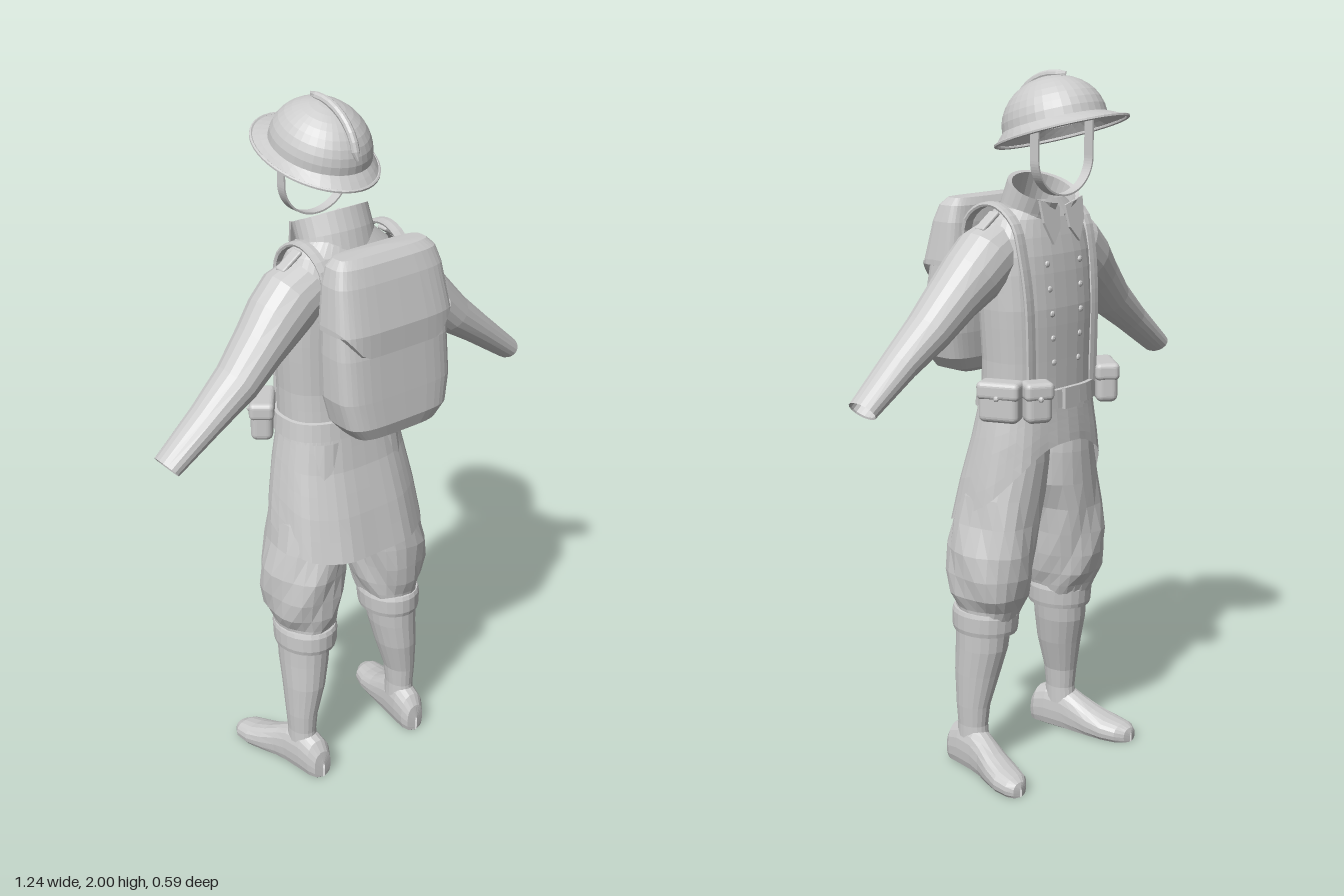
import * as THREE from 'three';
import { RoundedBoxGeometry } from 'three/addons/geometries/RoundedBoxGeometry.js';

const V = (x, y, z) => new THREE.Vector3(x, y, z);
const mat = new THREE.MeshStandardMaterial({ color: 0xcccccc, flatShading: true, side: THREE.DoubleSide });
const lerp = THREE.MathUtils.lerp;

// Grid surface from a function giving the point at (row, column)
function surface(rows, cols, fn) {
  const pos = [], idx = [], w = cols + 1;
  for (let i = 0; i <= rows; i++)
    for (let j = 0; j <= cols; j++) pos.push(...fn(i, j).toArray());
  for (let i = 0; i < rows; i++)
    for (let j = 0; j < cols; j++) {
      const a = i * w + j;
      idx.push(a, a + 1, a + w, a + 1, a + w + 1, a + w);
    }
  const g = new THREE.BufferGeometry();
  g.setAttribute('position', new THREE.Float32BufferAttribute(pos, 3));
  g.setIndex(idx);
  g.computeVertexNormals();
  return g;
}

// Loft through sections { c, u, v }; e < 1 squares the cross-section; mod adjusts each point
const pw = (t, e) => Math.sign(t) * Math.abs(t) ** e;
function loft(secs, n = 24, e = 1, mod = null, a0 = 0, a1 = Math.PI * 2) {
  return surface(secs.length - 1, n, (i, j) => {
    const a = a0 + (a1 - a0) * j / n, s = secs[i];
    const p = s.c.clone().addScaledVector(s.u, pw(Math.cos(a), e)).addScaledVector(s.v, pw(Math.sin(a), e));
    if (mod) mod(p, i, a, s);
    return p;
  });
}
// Level section: y, centre x, centre z, half width, half depth
const level = ([y, x, z, rx, rz]) => ({ c: V(x, y, z), u: V(rx, 0, 0), v: V(0, 0, -rz) });

// Coat profile: y, half width, front z, back z
const COAT = [[0.74, 0.237, -0.14, 0.2], [0.88, 0.22, -0.135, 0.165], [1.0, 0.2, -0.13, 0.13], [1.12, 0.176, -0.12, 0.108],
  [1.22, 0.176, -0.12, 0.1], [1.36, 0.184, -0.122, 0.105], [1.5, 0.185, -0.11, 0.11], [1.58, 0.172, -0.092, 0.1],
  [1.63, 0.135, -0.078, 0.085], [1.66, 0.09, -0.06, 0.065]];
function coatAt(y) {
  let i = 0;
  while (i < COAT.length - 2 && COAT[i + 1][0] < y) i++;
  const t = THREE.MathUtils.clamp((y - COAT[i][0]) / (COAT[i + 1][0] - COAT[i][0]), 0, 1);
  return COAT[i].map((k, q) => lerp(k, COAT[i + 1][q], t));
}
const E = 0.8;
function coatPoint(y, a, grow = 0) {
  const [, w, f, b] = coatAt(y);
  return V(pw(Math.cos(a), E) * (w + grow), y, (f + b) / 2 - pw(Math.sin(a), E) * ((b - f) / 2 + grow));
}
function frontZ(x, y) {
  const [, w, f, b] = coatAt(y);
  return (f + b) / 2 - (b - f) / 2 * Math.max(0, 1 - Math.abs(x / w) ** (2 / E)) ** (E / 2);
}

// Flat strap swept along a path
function strap(points, half, thick) {
  const curve = new THREE.CatmullRomCurve3(points), secs = [];
  for (let i = 0; i <= 24; i++) {
    const u = V(half, 0, 0), t = curve.getTangent(i / 24);
    secs.push({ c: curve.getPoint(i / 24), u, v: t.cross(V(1, 0, 0)).multiplyScalar(thick) });
  }
  return loft(secs, 8, 0.5);
}

export function createModel() {
  const model = new THREE.Group();
  const add = (name, geo, parent = model) => {
    const m = new THREE.Mesh(geo, mat);
    m.name = name;
    parent.add(m);
    return m;
  };
  const pair = (name, geo) => {
    add(name + 'Left', geo);
    add(name + 'Right', geo).scale.x = -1;
  };
  const TAU = Math.PI * 2;

  // Coat body, skirt with the hem rising to the front, and belt
  add('coatBody', surface(12, 36, (i, j) => coatPoint(lerp(1.08, 1.66, i / 12), j / 36 * TAU)));
  add('coatSkirt', surface(6, 40, (i, j) => {
    const a = j / 40 * TAU, hem = 0.74 + 0.25 * ((1 + Math.sin(a)) / 2) ** 2;
    return coatPoint(lerp(hem, 1.12, i / 6), a, 0.003 * (1 - i / 6) * Math.sin(a * 9));
  }));
  const beltRows = [[1.09, 0], [1.092, 0.009], [1.143, 0.009], [1.145, 0]];
  add('belt', surface(3, 36, (i, j) => coatPoint(beltRows[i][0], j / 36 * TAU, beltRows[i][1])));
  add('beltBuckle', new THREE.BoxGeometry(0.055, 0.06, 0.014)).position.set(0, 1.118, -0.134);

  // Double row of buttons
  for (const s of [-1, 1])
    for (let i = 0; i < 5; i++) {
      const x = s * (0.05 + i * 0.004), y = 1.22 + i * 0.068;
      const b = add('button', new THREE.SphereGeometry(0.009, 8, 6));
      b.position.set(x, y, frontZ(x, y));
      b.scale.z = 0.6;
    }

  // Standing collar open at the front, with turned points
  const gap = 0.28, mid = Math.PI / 2;
  add('collar', loft([
    { c: V(0, 1.6, 0.003), u: V(0.118, 0, 0), v: V(0, -0.02, -0.085) },
    { c: V(0, 1.645, -0.012), u: V(0.113, 0, 0), v: V(0, -0.028, -0.086) },
    { c: V(0, 1.69, -0.033), u: V(0.112, 0, 0), v: V(0, -0.038, -0.084) },
    { c: V(0, 1.685, -0.033), u: V(0.1, 0, 0), v: V(0, -0.038, -0.074) },
    { c: V(0, 1.6, 0.003), u: V(0.09, 0, 0), v: V(0, -0.02, -0.07) },
  ], 28, 1, null, mid + gap, mid + TAU - gap));
  const point = new THREE.Shape([[0.012, 0.06], [0.085, 0.08], [0.08, 0.02], [0.052, -0.04], [0.02, 0]].map(p => new THREE.Vector2(...p)));
  const pointGeo = new THREE.ExtrudeGeometry(point, { depth: 0.008, bevelEnabled: false });
  pointGeo.rotateX(0.18).translate(0, 1.585, -0.113);
  pair('collarPoint', pointGeo);

  // Sleeves
  const arm = [[0.11, 1.54, 0.02, 0.085, 0.08], [0.17, 1.51, 0.02, 0.092, 0.09], [0.23, 1.46, 0.025, 0.085, 0.088],
    [0.29, 1.407, 0.035, 0.071, 0.08], [0.37, 1.33, 0.045, 0.06, 0.07], [0.47, 1.255, 0.05, 0.046, 0.058],
    [0.6, 1.155, 0.05, 0.033, 0.047], [0.597, 1.157, 0.05, 0.028, 0.042], [0.55, 1.195, 0.05, 0.028, 0.042]];
  const dir = V(0.77, -0.64, 0);
  pair('sleeve', loft(arm.map(([x, y, z, r, rz]) => ({
    c: V(x, y, z), u: V(-dir.y * r, dir.x * r, 0), v: V(0, 0, rz),
  })), 18));
  const tab = new RoundedBoxGeometry(0.075, 0.012, 0.035, 2, 0.005);
  tab.rotateZ(-0.6).translate(0.172, 1.607, 0.015);
  pair('shoulderTab', tab);

  // Baggy breeches with soft folds, knee bands and stockings
  const leg = [[0.46, 0.157, 0.043, 0.075, 0.09], [0.51, 0.153, 0.037, 0.085, 0.103], [0.55, 0.157, 0.032, 0.1, 0.118],
    [0.61, 0.156, 0.03, 0.107, 0.128], [0.68, 0.15, 0.03, 0.109, 0.133], [0.76, 0.133, 0.028, 0.105, 0.13],
    [0.84, 0.112, 0.022, 0.112, 0.125], [0.94, 0.094, 0.01, 0.098, 0.118], [1.08, 0.085, 0, 0.085, 0.11]];
  pair('breeches', loft(leg.map(level), 22, 0.9, (p, i, a, s) => {
    const k = i < 6 ? 1 + 0.035 * Math.sin(a * 5 + i * 1.9) : 1;
    p.sub(s.c).multiplyScalar(k).add(s.c);
    p.x = Math.max(p.x, 0.002);
  }));
  pair('kneeBand', loft([[0.432, 0.16, 0.05, 0.07, 0.08], [0.432, 0.158, 0.048, 0.084, 0.098], [0.445, 0.158, 0.048, 0.087, 0.102],
    [0.488, 0.157, 0.046, 0.089, 0.104], [0.5, 0.157, 0.045, 0.086, 0.1], [0.502, 0.157, 0.045, 0.07, 0.08]].map(level), 24));
  pair('stocking', loft([[0.09, 0.19, 0.07, 0.04, 0.053], [0.14, 0.19, 0.07, 0.039, 0.048], [0.2, 0.189, 0.069, 0.044, 0.054],
    [0.3, 0.176, 0.063, 0.06, 0.071], [0.38, 0.168, 0.053, 0.069, 0.082], [0.45, 0.164, 0.05, 0.074, 0.086]].map(level), 20));

  // Shoes: toe to heel as z, x, half width, top
  const shoe = [[-0.172, 0.243, 0.004, 0.03], [-0.166, 0.242, 0.026, 0.045], [-0.145, 0.237, 0.044, 0.056], [-0.1, 0.228, 0.053, 0.066],
    [-0.05, 0.216, 0.05, 0.085], [0, 0.203, 0.044, 0.112], [0.04, 0.196, 0.043, 0.133], [0.1, 0.188, 0.044, 0.137],
    [0.14, 0.184, 0.042, 0.12], [0.16, 0.182, 0.03, 0.09], [0.166, 0.182, 0.004, 0.05]];
  pair('shoe', loft(shoe.map(([z, x, w, top]) => ({ c: V(x, top * 0.45, z), u: V(w, 0, 0), v: V(0, top * 0.55, 0) })), 18, 0.85,
    p => { p.y = Math.max(p.y, 0.003); }));

  // Backpack bag and overlapping flap
  add('backpackBag', loft([[1.148, 0, 0.225, 0, 0], [1.15, 0, 0.225, 0.08, 0.035], [1.168, 0, 0.222, 0.135, 0.065],
    [1.205, 0, 0.217, 0.168, 0.08], [1.28, 0, 0.21, 0.186, 0.079], [1.4, 0, 0.202, 0.186, 0.073],
    [1.5, 0, 0.195, 0.18, 0.06], [1.6, 0, 0.188, 0.165, 0.045]].map(level), 36, 0.5));
  add('backpackFlap', loft([[1.4, 0, 0.2, 0.182, 0.068], [1.405, 0, 0.204, 0.192, 0.08], [1.47, 0, 0.202, 0.192, 0.08],
    [1.59, 0, 0.188, 0.178, 0.062], [1.635, 0, 0.182, 0.165, 0.05], [1.655, 0, 0.178, 0.145, 0.034],
    [1.66, 0, 0.176, 0, 0]].map(level), 36, 0.5, (p, i) => {
    if (i < 2) p.y += Math.max(0, Math.abs(p.x) - 0.125) * 1.2;
  }));

  // Pack straps over the shoulders to the belt
  const onChest = (x, y) => V(x, y, frontZ(x, y) - 0.004);
  pair('packStrap', strap([V(0.135, 1.5, 0.135), V(0.138, 1.6, 0.12), V(0.14, 1.645, 0.06), V(0.14, 1.645, 0), V(0.14, 1.6, -0.06),
    onChest(0.138, 1.52), onChest(0.132, 1.4), onChest(0.128, 1.28), onChest(0.125, 1.14)], 0.017, 0.007));

  // Belt pouches with lids: x, z, width, turn
  for (const [x, z, w, turn] of [[0.203, -0.062, 0.115, 1.15], [0.14, -0.138, 0.075, 0.5], [-0.195, -0.088, 0.13, -0.9]]) {
    const pouch = new THREE.Group();
    pouch.name = 'beltPouch';
    add('pouchBody', new RoundedBoxGeometry(w, 0.105, 0.062, 3, 0.018), pouch);
    add('pouchLid', new RoundedBoxGeometry(w + 0.008, 0.05, 0.07, 3, 0.014), pouch).position.y = 0.036;
    add('pouchStud', new THREE.SphereGeometry(0.008, 8, 6), pouch).position.set(0, 0.018, -0.036);
    pouch.position.set(x, 1.125, z);
    pouch.rotation.y = -turn;
    model.add(pouch);
  }

  // Helmet, tilted back: brim and dome in one shell, rim bead and crest
  const helmet = new THREE.Group();
  helmet.name = 'helmet';
  const shell = [[-0.01, 0, 0, 0.154, 0.203], [0.006, 0, 0.009, 0.143, 0.175], [0.018, 0, 0.017, 0.134, 0.152]];
  for (let i = 1; i <= 9; i++) {
    const a = i / 9 * Math.PI / 2;
    shell.push([0.018 + 0.124 * Math.sin(a), 0, 0.017, 0.134 * Math.cos(a), 0.152 * Math.cos(a)]);
  }
  add('helmetShell', loft(shell.map(level), 36), helmet);
  const rim = [], crest = [];
  for (let i = 0; i < 24; i++) rim.push(V(0.153 * Math.cos(i / 24 * TAU), -0.01, 0.202 * Math.sin(i / 24 * TAU)));
  add('helmetRim', new THREE.TubeGeometry(new THREE.CatmullRomCurve3(rim, true), 48, 0.005, 6, true), helmet);
  for (let i = 0; i <= 10; i++) {
    const a = lerp(0.3, 2.05, i / 10), r = 0.006 * Math.sin(i / 10 * Math.PI);
    crest.push({ c: V(0, 0.018 + (0.124 + r) * Math.sin(a), 0.017 + (0.152 + r) * Math.cos(a)),
      u: V(i === 0 || i === 10 ? 0.003 : 0.012, 0, 0), v: V(0, -Math.sin(a), -Math.cos(a)).multiplyScalar(0.012) });
  }
  add('helmetCrest', loft(crest, 10), helmet);
  helmet.position.set(0, 1.85, -0.093);
  helmet.rotation.x = 0.272;
  model.add(helmet);

  // Chin strap
  const u = new THREE.Shape();
  u.moveTo(0.111, 1.88).lineTo(0.111, 1.77);
  u.absellipse(0, 1.77, 0.111, 0.1, 0, Math.PI, true);
  u.lineTo(-0.111, 1.88).lineTo(-0.106, 1.88).lineTo(-0.106, 1.77);
  u.absellipse(0, 1.77, 0.106, 0.095, Math.PI, TAU, false);
  u.lineTo(0.106, 1.88);
  add('chinStrap', new THREE.ExtrudeGeometry(u, { depth: 0.03, bevelEnabled: false, curveSegments: 20 })).position.z = -0.115;

  return model;
}
